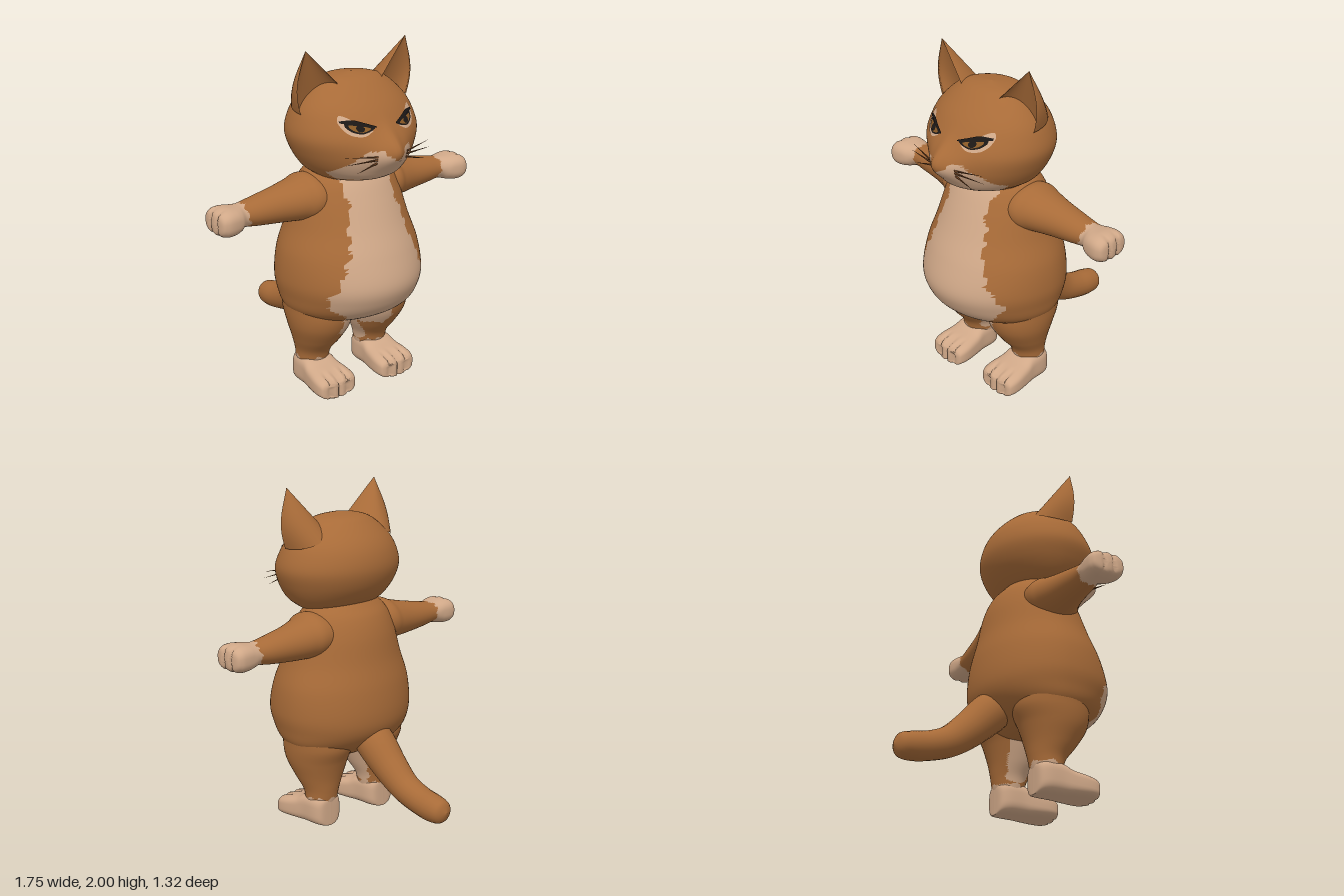
import * as THREE from 'three';

const mat = (name, color, side = THREE.FrontSide) => {
  const m = new THREE.MeshStandardMaterial({ color, side });
  m.name = name;
  return m;
};
const fur = mat('ginger fur', 0xa86b38);
const cream = mat('cream fur', 0xd0a888);
const black = mat('eye black', 0x1c1816, THREE.DoubleSide);
const amber = mat('eye amber', 0x8a5a26, THREE.DoubleSide);
const whiskerBrown = mat('whisker brown', 0x6b4020);

const { clamp, lerp } = THREE.MathUtils;
const spow = (a, p) => Math.sign(a) * Math.abs(a) ** p;
const jag = (a) => 0.01 * Math.sin(a * 70) + 0.008 * Math.sin(a * 31 + 1);

// Smooth interpolation through rows of numbers, v in 0..1
function key(K, v) {
  const n = K.length - 1, f = clamp(v, 0, 1) * n, i = Math.min(Math.floor(f), n - 1), t = f - i;
  return K[0].map((_, c) => {
    const [a, b, d, e] = [-1, 0, 1, 2].map((o) => K[clamp(i + o, 0, n)][c]);
    return b + 0.5 * t * (d - a + t * (2 * a - 5 * b + 4 * d - e + t * (3 * (b - d) + e - a)));
  });
}

// Piecewise linear lookup in [x, value] rows with ascending x
function table(T, x) {
  let i = 0;
  while (i < T.length - 2 && x > T[i + 1][0]) i++;
  return lerp(T[i][1], T[i + 1][1], clamp((x - T[i][0]) / (T[i + 1][0] - T[i][0]), 0, 1));
}

// Closed loft: point(angle, v) -> [x, y, z]; isCream(x, y, z) colours each face
function loft(name, point, nu, nv, isCream = () => false) {
  const pos = [], parts = [[], []];
  for (let j = 0; j <= nv; j++)
    for (let i = 0; i < nu; i++) pos.push(...point((i / nu) * Math.PI * 2, j / nv));
  const P = (i) => new THREE.Vector3(pos[3 * i], pos[3 * i + 1], pos[3 * i + 2]);
  const tris = [];
  let volume = 0;
  const add = (a, b, c) => {
    tris.push([a, b, c]);
    volume += P(a).dot(P(b).cross(P(c)));
  };
  for (let j = 0; j < nv; j++)
    for (let i = 0; i < nu; i++) {
      const a = j * nu + i, b = j * nu + ((i + 1) % nu);
      add(a, b, b + nu);
      add(a, b + nu, a + nu);
    }
  for (const [a, b, c] of tris) {
    const m = P(a).add(P(b)).add(P(c)).divideScalar(3);
    parts[isCream(m.x, m.y, m.z) ? 1 : 0].push(...(volume > 0 ? [a, b, c] : [a, c, b]));
  }
  const g = new THREE.BufferGeometry();
  g.setAttribute('position', new THREE.Float32BufferAttribute(pos, 3));
  g.setIndex([...parts[0], ...parts[1]]);
  g.addGroup(0, parts[0].length, 0);
  g.addGroup(parts[0].length, parts[1].length, 1);
  g.computeVertexNormals();
  const mesh = new THREE.Mesh(g, [fur, cream]);
  mesh.name = name;
  return mesh;
}

// Horizontal ring with separate front and back depth
const ring = (a, y, cx, w, zc, back, front) => [
  cx + Math.max(w, 0) * Math.sin(a), y,
  zc + Math.cos(a) * (Math.cos(a) > 0 ? front - zc : zc - back),
];

// Rows: y, half width, back z, front z
const TORSO = [[0.39, 0, 0.2, 0.2], [0.41, 0.2, 0.08, 0.33], [0.46, 0.33, 0, 0.46], [0.52, 0.395, -0.08, 0.56],
  [0.6, 0.42, -0.135, 0.62], [0.7, 0.435, -0.15, 0.643], [0.85, 0.42, -0.135, 0.6], [1, 0.37, -0.1, 0.535],
  [1.15, 0.33, -0.07, 0.47], [1.25, 0.29, -0.03, 0.42], [1.31, 0.24, 0.02, 0.37], [1.36, 0.15, 0.07, 0.3]];
const BIB = [[0.4, 0.08], [0.44, 0.12], [0.5, 0.22], [0.6, 0.32], [0.67, 0.325], [0.75, 0.28], [0.82, 0.24],
  [0.9, 0.22], [1, 0.19], [1.2, 0.155], [1.28, 0.17]];
const HEAD = [[1.268, 0, 0.24, 0.24], [1.275, 0.18, 0.17, 0.43], [1.31, 0.255, 0.075, 0.525], [1.36, 0.312, 0.01, 0.56],
  [1.44, 0.36, -0.05, 0.58], [1.53, 0.387, -0.08, 0.575], [1.62, 0.366, -0.07, 0.532], [1.7, 0.32, -0.03, 0.475],
  [1.78, 0.235, 0.045, 0.39], [1.82, 0.15, 0.11, 0.325], [1.84, 0, 0.24, 0.24]];
const LEG = [[0.1, 0.215, 0.09, 0.09, 0.25], [0.16, 0.213, 0.098, 0.075, 0.26], [0.22, 0.21, 0.108, 0.065, 0.28],
  [0.3, 0.205, 0.142, 0.05, 0.345], [0.4, 0.203, 0.178, 0.02, 0.41], [0.5, 0.2, 0.195, -0.02, 0.43],
  [0.6, 0.2, 0.19, 0, 0.4], [0.68, 0.2, 0.12, 0.1, 0.3]];
// Rows: x, centre y, half height, centre z, half depth
const ARM = [[0.12, 1.16, 0.1, 0.19, 0.15], [0.27, 1.165, 0.13, 0.19, 0.17], [0.35, 1.155, 0.117, 0.18, 0.145],
  [0.46, 1.145, 0.1, 0.172, 0.115], [0.6, 1.138, 0.08, 0.17, 0.092], [0.69, 1.136, 0.066, 0.172, 0.082],
  [0.74, 1.132, 0.071, 0.183, 0.098], [0.8, 1.131, 0.078, 0.187, 0.108], [0.84, 1.131, 0.072, 0.187, 0.104],
  [0.866, 1.13, 0.05, 0.187, 0.08], [0.873, 1.13, 0, 0.187, 0]];
// Rows: z, half width, height
const FOOT = [[0.078, 0, 0.15], [0.085, 0.07, 0.17], [0.13, 0.1, 0.19], [0.22, 0.106, 0.185], [0.28, 0.116, 0.155],
  [0.36, 0.128, 0.136], [0.415, 0.124, 0.12], [0.438, 0.1, 0.1], [0.446, 0, 0.08]];
// Rows: y, z, radius
const TAIL = [[0.58, 0.04, 0.08], [0.52, -0.06, 0.115], [0.39, -0.2, 0.102], [0.3, -0.32, 0.088], [0.255, -0.44, 0.082],
  [0.235, -0.55, 0.08], [0.232, -0.62, 0.062], [0.232, -0.65, 0]];

// Muzzle and nose ridge pushed out of the face
const muzzle = (x, y) =>
  0.068 * Math.exp(-((x / 0.13) ** 2) - ((y - 1.45) / 0.09) ** 2) +
  0.03 * Math.exp(-((x / 0.04) ** 2) - ((y - 1.51) / 0.08) ** 2);

function headPoint(a, v) {
  const [y, w, back, front] = key(HEAD, v);
  const p = ring(a, y, 0, w, 0.24, back, front);
  p[2] += muzzle(p[0], y) * Math.max(0, Math.cos(a));
  return p;
}

// Depth of the face at x, y
function faceZ(x, y) {
  let lo = 0, hi = 1;
  for (let i = 0; i < 30; i++) {
    const m = (lo + hi) / 2;
    if (key(HEAD, m)[0] < y) lo = m; else hi = m;
  }
  return headPoint(Math.asin(clamp(x / key(HEAD, lo)[1], -1, 1)), lo)[2];
}

// Thin face marking that follows the head; rows: x, lower y, upper y
function marking(name, rows, s, lift, material) {
  const n = 16, m = 4, pos = [], idx = [];
  for (let i = 0; i <= n; i++) {
    const [x, y0, y1] = key(rows, s > 0 ? i / n : 1 - i / n);
    for (let j = 0; j <= m; j++) {
      const y = lerp(y0, y1, j / m);
      pos.push(s * x, y, faceZ(s * x, y) + lift);
      const a = i * (m + 1) + j, b = a + m + 1;
      if (i < n && j < m) idx.push(a, b, b + 1, a, b + 1, a + 1);
    }
  }
  const g = new THREE.BufferGeometry();
  g.setAttribute('position', new THREE.Float32BufferAttribute(pos, 3));
  g.setIndex(idx);
  g.computeVertexNormals();
  const mesh = new THREE.Mesh(g, material);
  mesh.name = name;
  return mesh;
}

function ear(s) {
  const inner = new THREE.Vector3(0.12, 1.77, 0.33), outer = new THREE.Vector3(0.365, 1.66, 0.28);
  const tip = new THREE.Vector3(0.34, 2, 0.29);
  return loft('ear', (a, v) => {
    const size = (1 - v) ** 0.85, c = Math.cos(a), d = Math.sin(a);
    const p = inner.clone().lerp(outer, 0.5 + 0.5 * c).lerp(tip, 1 - size);
    p.x += 0.035 * Math.max(0, c) * Math.sin(v * Math.PI);
    p.z -= size * (d > 0 ? 0.21 * d : -0.09 * d);
    return [s * p.x, p.y, p.z];
  }, 32, 16);
}

function whisker(s, from, to) {
  const a = new THREE.Vector3(s * from[0], from[1], from[2]), b = new THREE.Vector3(s * to[0], to[1], to[2]);
  const mesh = new THREE.Mesh(new THREE.ConeGeometry(0.006, a.distanceTo(b), 5), whiskerBrown);
  mesh.position.copy(a).lerp(b, 0.5);
  mesh.quaternion.setFromUnitVectors(new THREE.Vector3(0, 1, 0), b.sub(a).normalize());
  mesh.name = 'whisker';
  return mesh;
}

export function createModel() {
  const model = new THREE.Group();
  model.name = 'standing cat';

  // Torso with bib, head with pale muzzle
  model.add(loft('torso', (a, v) => {
    const [y, w, back, front] = key(TORSO, v);
    return ring(a, y, 0, w, 0.2, back, front);
  }, 96, 90, (x, y, z) => z > 0.26 && Math.abs(x) < table(BIB, y) + jag(y + Math.sign(x))));
  model.add(loft('head', headPoint, 112, 90, (x, y, z) => {
    const ax = Math.abs(x), nose = ax < 0.065 && y > 1.43 + ax * 0.5;
    return z > 0.38 && y > 1.3 && !nose && y < 1.49 - Math.max(0, ax - 0.13) * 0.95 + 0.4 * jag(x) && ax < 0.28;
  }));

  // Tail
  model.add(loft('tail', (a, v) => {
    const [y, z, r] = key(TAIL, v), p = key(TAIL, v - 0.01), q = key(TAIL, v + 0.01);
    const dy = q[0] - p[0], dz = q[1] - p[1], l = Math.hypot(dy, dz), c = Math.max(r, 0) * Math.cos(a);
    return [Math.max(r, 0) * Math.sin(a), y + (c * dz) / l, z - (c * dy) / l];
  }, 20, 40));

  for (const s of [1, -1]) {
    // Arm and paw, with grooves between the fingers
    model.add(loft('arm', (a, v) => {
      const [x, cy, ry, cz, rz] = key(ARM, v), grip = clamp((x - 0.7) / 0.06, 0, 1), p = lerp(1, 0.75, grip);
      const dz = Math.max(rz, 0) * spow(Math.sin(a), p);
      const groove = Math.exp(-(((Math.abs(dz) - 0.03) / 0.009) ** 2)) * clamp((x - 0.79) / 0.05, 0, 1);
      return [s * (x - 0.012 * groove), cy + Math.max(ry, 0) * (1 - 0.12 * groove) * spow(Math.cos(a), p), cz + dz];
    }, 48, 70, (x, y, z) => Math.abs(x) > 0.69 - 0.25 * (z - 0.17) + jag(z * 2 + y)));

    // Leg with sock and pale inner side
    model.add(loft('leg', (a, v) => {
      const [y, cx, w, back, front] = key(LEG, v);
      return ring(a, y, s * cx, w, (back + front) / 2, back, front);
    }, 48, 60, (x, y, z) => {
      const ax = Math.abs(x);
      return y < 0.17 + jag(x + z) || (ax < 0.115 + jag(y) && z > 0.1 && z < 0.25 && y < 0.42) ||
        (ax < 0.18 + jag(y) && y > 0.34 + jag(x) && z > 0.2);
    }));

    // Foot with four toes
    model.add(loft('foot', (a, v) => {
      const [z, w, h] = key(FOOT, v), dx = Math.max(w, 0) * spow(Math.sin(a), 0.7);
      const groove = [-0.06, 0, 0.06].reduce((t, g) => t + Math.exp(-(((dx - g) / 0.009) ** 2)), 0) * clamp((z - 0.34) / 0.06, 0, 1);
      const y = (h / 2) * (1 + spow(Math.cos(a), 0.55));
      return [s * (0.218 + dx), y * (1 - 0.12 * groove), z - 0.016 * groove];
    }, 64, 40, () => true));

    model.add(ear(s));

    // Eye: pale surround, dark rim, amber iris, pupil and heavy upper lid
    model.add(marking('eyeSurround', [[0.09, 1.585, 1.6], [0.14, 1.562, 1.615], [0.2, 1.568, 1.655], [0.235, 1.595, 1.665], [0.25, 1.63, 1.64]], s, 0.003, cream));
    model.add(marking('eyeRim', [[0.075, 1.597, 1.6], [0.11, 1.583, 1.612], [0.155, 1.575, 1.628], [0.2, 1.588, 1.638], [0.225, 1.612, 1.64]], s, 0.005, black));
    model.add(marking('iris', [[0.1, 1.596, 1.6], [0.12, 1.588, 1.607], [0.155, 1.583, 1.614], [0.19, 1.594, 1.62], [0.208, 1.61, 1.622]], s, 0.007, amber));
    model.add(marking('pupil', [[0.133, 1.598, 1.604], [0.145, 1.587, 1.615], [0.165, 1.587, 1.618], [0.177, 1.6, 1.608]], s, 0.009, black));
    model.add(marking('upperLid', [[0.065, 1.6, 1.606], [0.12, 1.61, 1.626], [0.18, 1.625, 1.645], [0.245, 1.632, 1.642]], s, 0.0095, black));

    // Whiskers
    for (const [y0, x1, y1, z1] of [[1.455, 0.29, 1.475, 0.565], [1.44, 0.3, 1.435, 0.57], [1.42, 0.24, 1.385, 0.595]])
      model.add(whisker(s, [0.1, y0, faceZ(0.1, y0)], [x1, y1, z1]));
  }
  return model;
}
